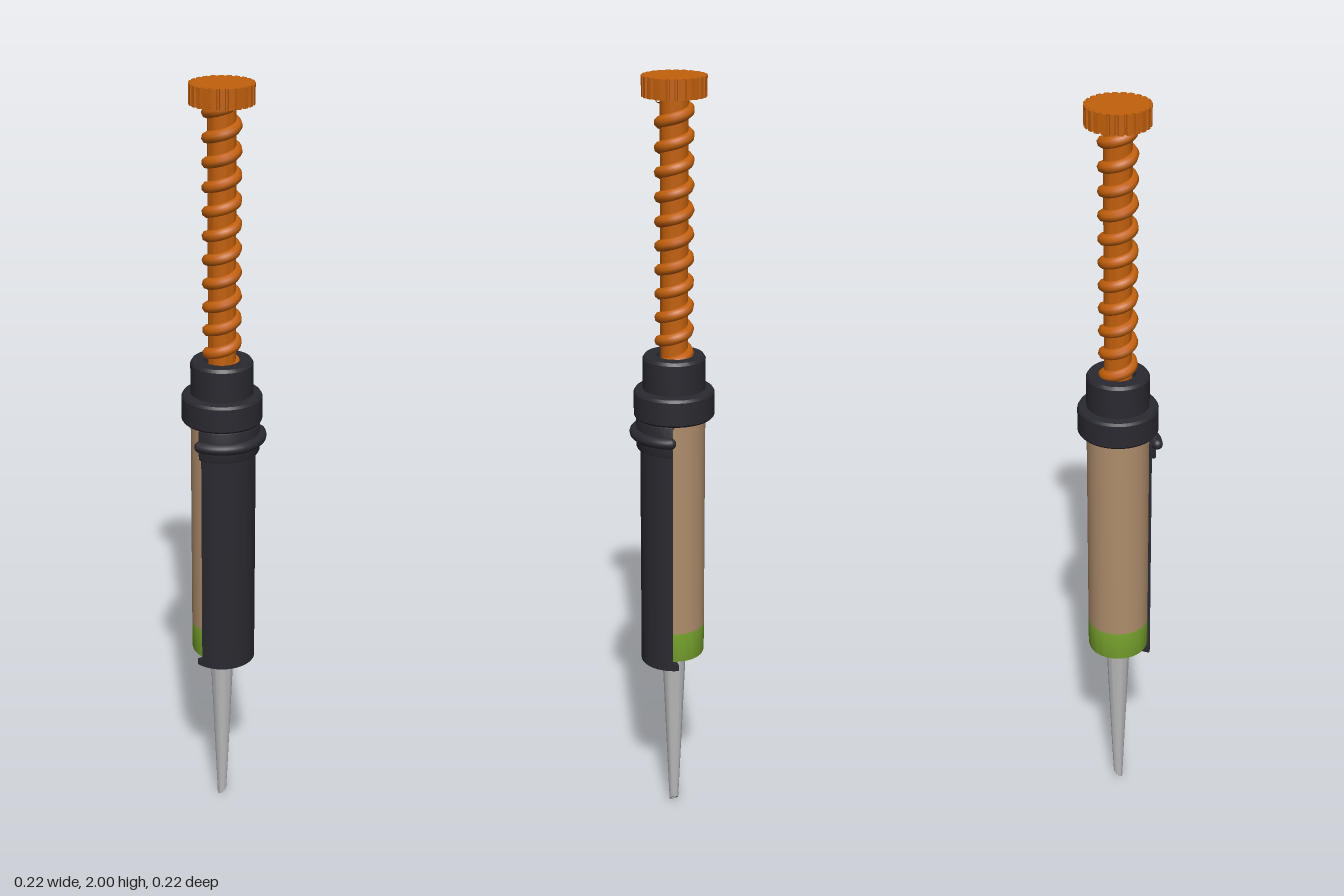
import * as THREE from 'three';
import { toCreasedNormals } from 'three/addons/utils/BufferGeometryUtils.js';

const mat = (name, color) => {
  const m = new THREE.MeshStandardMaterial({ color });
  m.name = name;
  return m;
};

export function createModel() {
  const black = mat('black plastic', 0x292930);
  const orange = mat('orange plastic', 0xc2600c);
  const tan = mat('tan cartridge', 0xae8d6c);
  const green = mat('green band', 0x7ba62f);
  const steel = mat('needle steel', 0xb9b9b9);

  const model = new THREE.Group();
  model.name = 'injector';
  const body = new THREE.Group();
  body.name = 'body';
  body.position.z = -0.006; // common axis of all round parts
  model.add(body);

  const add = (name, geometry, material) => {
    const mesh = new THREE.Mesh(geometry, material);
    mesh.name = name;
    body.add(mesh);
    return mesh;
  };
  // Profile of [radius, height] points, bottom to top
  const lathe = (points, seg = 48) => toCreasedNormals(
    new THREE.LatheGeometry(points.map(p => new THREE.Vector2(...p)), seg), 0.5);
  // Flat shape (x, z) raised from y0 to y1
  const raise = (shape, y0, y1, bevel = 0) => {
    const g = new THREE.ExtrudeGeometry(shape, {
      depth: y1 - y0 - 2 * bevel, curveSegments: 40, bevelEnabled: bevel > 0,
      bevelThickness: bevel, bevelSize: bevel, bevelOffset: -bevel, bevelSegments: 2,
    });
    g.rotateX(Math.PI / 2).translate(0, y1 - bevel, 0);
    return toCreasedNormals(g, 0.5);
  };
  // Front part of a ring, from angle a to PI - a
  const frontRing = (r0, r1, a) => {
    const s = new THREE.Shape();
    s.absarc(0, 0, r1, a, Math.PI - a, false);
    s.absarc(0, 0, r0, Math.PI - a, a, true);
    s.closePath();
    return s;
  };

  // Thumb cap with notched rim
  const cap = new THREE.Shape();
  const notches = 24, step = Math.PI * 2 / notches;
  for (let i = 0; i < notches; i++) {
    const a = i * step;
    for (const [f, r] of [[0, 0.08], [0.2, 0.08], [0.4, 0.08], [0.58, 0.08],
      [0.62, 0.075], [0.7, 0.073], [0.88, 0.073], [0.96, 0.075]]) {
      const x = r * Math.cos(a + f * step), y = r * Math.sin(a + f * step);
      if (i === 0 && f === 0) cap.moveTo(x, y);
      else cap.lineTo(x, y);
    }
  }
  cap.closePath();
  add('thumbCap', raise(cap, 1.95, 2), orange);

  // Plunger rod with a right-handed screw thread
  add('plungerRod', lathe([[0, 1.25], [0.035, 1.25], [0.035, 1.96]], 32), orange);
  const turns = 11, path = [];
  for (let i = 0; i <= turns * 16; i++) {
    const t = i / 16 * Math.PI * 2;
    path.push(new THREE.Vector3(0.035 * Math.sin(t), 1.28 + 0.67 * i / (turns * 16), 0.035 * Math.cos(t)));
  }
  add('plungerThread', new THREE.TubeGeometry(
    new THREE.CatmullRomCurve3(path), turns * 32, 0.015, 8), orange);

  // Collar and neck
  add('collar', lathe([
    [0, 1.14], [0.099, 1.14], [0.103, 1.145], [0.103, 1.205], [0.099, 1.212],
    [0.08, 1.215], [0.08, 1.294], [0.075, 1.302], [0.045, 1.302], [0.04, 1.29], [0, 1.29],
  ]), black);

  // Front half shell, its floor and the band under the collar
  const edge = 0.3;
  add('frontShell', raise(frontRing(0.079, 0.087, edge), 0.45, 1.145), black);
  add('frontBand', raise(frontRing(0.079, 0.097, edge), 1.055, 1.142, 0.006), black);
  const floor = new THREE.Shape();
  floor.absarc(0, 0, 0.087, 0.12, Math.PI - 0.12, false);
  floor.closePath();
  add('shellFloor', raise(floor, 0.45, 0.468), black);

  // Grip bead with rounded ends
  const beadEnd = 0.36;
  const bead = new THREE.TorusGeometry(0.1, 0.0145, 12, 48, Math.PI - 2 * beadEnd);
  bead.rotateZ(beadEnd).rotateX(Math.PI / 2);
  add('gripBead', bead, black).position.y = 1.097;
  for (const side of [1, -1]) {
    add('gripBeadEnd', new THREE.SphereGeometry(0.0145, 16, 12), black)
      .position.set(side * 0.1 * Math.cos(beadEnd), 1.097, 0.1 * Math.sin(beadEnd));

    // Rounded upper corner of the shell opening
    const fillet = new THREE.Shape();
    fillet.moveTo(0, 0);
    fillet.lineTo(0.02, 0);
    fillet.quadraticCurveTo(0, 0, 0, -0.02);
    fillet.closePath();
    const corner = new THREE.ExtrudeGeometry(fillet, { depth: 0.008, bevelEnabled: false });
    corner.rotateY(Math.PI / 2);
    add('openingCorner', corner, black).position.set(side * 0.082 - 0.004, 1.141, 0.027);
  }

  // Cartridge with coloured lower end and outlet
  add('cartridge', lathe([[0.08, 0.555], [0.08, 1.15], [0, 1.15]]), tan);
  add('cartridgeEnd', lathe([
    [0, 0.44], [0.025, 0.44], [0.025, 0.47], [0.072, 0.47], [0.078, 0.473], [0.08, 0.48], [0.08, 0.555],
  ]), green);

  // Hollow needle with a slanted tip
  const needle = new THREE.LatheGeometry([
    [0, 0.06], [0.007, 0.06], [0.007, 0], [0.012, 0], [0.016, 0.1], [0.031, 0.446], [0, 0.446],
  ].map(p => new THREE.Vector2(...p)), 32);
  const pos = needle.attributes.position;
  for (let i = 0; i < pos.count; i++) {
    if (pos.getY(i) < 0.01) pos.setY(i, 0.011 + pos.getX(i) * 0.9);
  }
  add('needle', toCreasedNormals(needle, 0.5), steel);

  return model;
}
